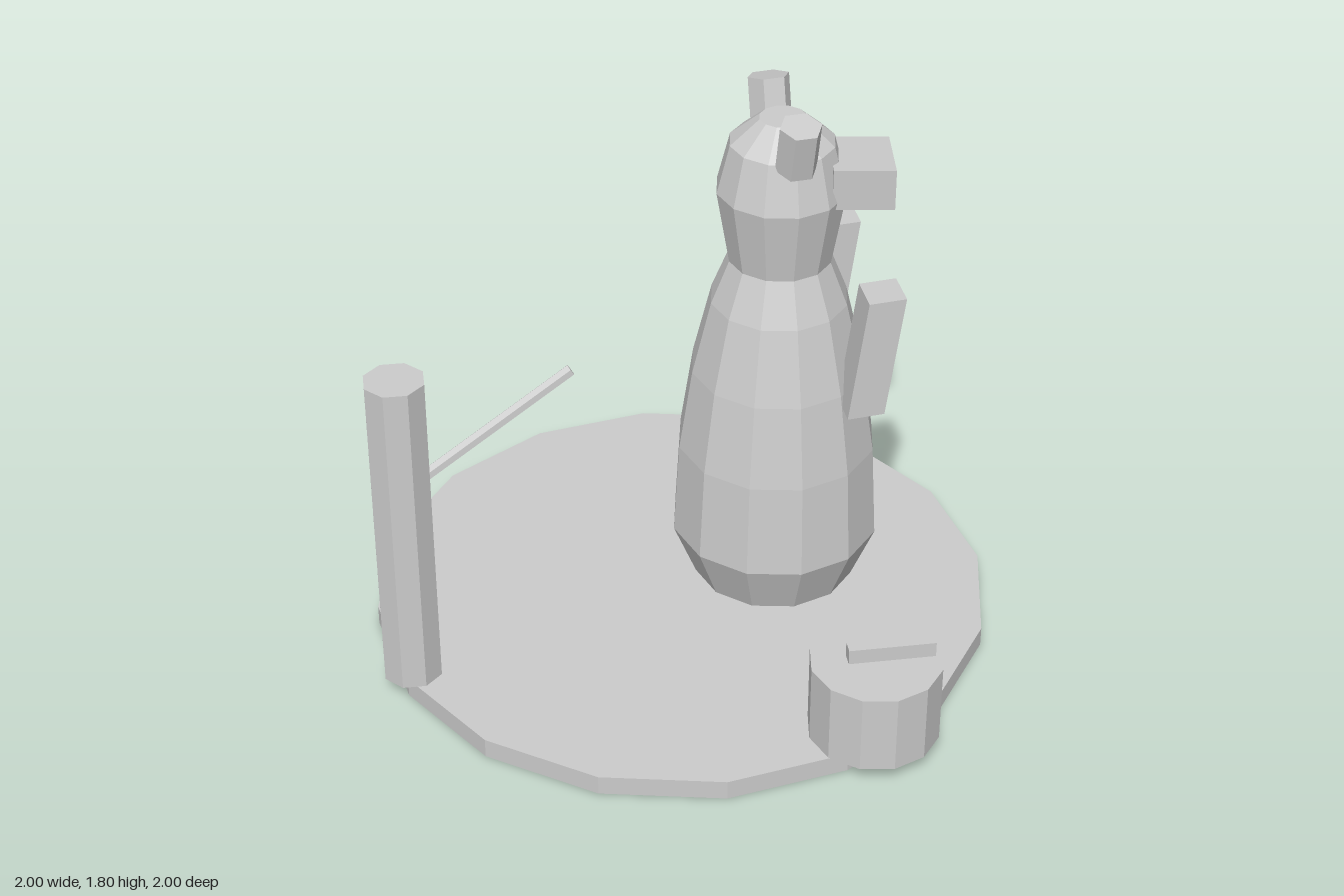
import * as THREE from 'three';
import { ConvexGeometry } from 'three/addons/geometries/ConvexGeometry.js';

const V = (x, y, z) => new THREE.Vector3(x, y, z);

export function createModel() {
  const model = new THREE.Group();
  const material = new THREE.MeshStandardMaterial({ color: 0xcccccc, flatShading: true });

  const add = (name, geometry, x = 0, y = 0, z = 0) => {
    const mesh = new THREE.Mesh(geometry, material);
    mesh.name = name;
    mesh.position.set(x, y, z);
    model.add(mesh);
    return mesh;
  };

  // Straight faceted rod between two points
  const rod = (name, a, b, radius, sides) => {
    const axis = b.clone().sub(a);
    const mid = a.clone().add(b).multiplyScalar(0.5);
    const mesh = add(name, new THREE.CylinderGeometry(radius, radius, axis.length(), sides), mid.x, mid.y, mid.z);
    mesh.quaternion.setFromUnitVectors(V(0, 1, 0), axis.normalize());
    return mesh;
  };

  // Slanted block: a quad swept along a vector
  const sweep = (name, quad, along) =>
    add(name, new ConvexGeometry([...quad, ...quad.map((p) => p.clone().add(along))]));

  const ground = 0.065;

  // Round base
  add('base', new THREE.CylinderGeometry(1, 1, ground, 16), 0, ground / 2, 0);

  // Body and head in one turned profile
  const profile = [
    [0, ground], [0.265, ground], [0.34, 0.25], [0.322, 0.57], [0.28, 0.85], [0.22, 1.1],
    [0.163, 1.245], [0.205, 1.49], [0.165, 1.65], [0.073, 1.73], [0, 1.73],
  ].map(([r, y]) => new THREE.Vector2(r, y));
  const body = add('body', new THREE.LatheGeometry(profile, 12), 0.265, 0, -0.195);
  body.rotation.y = THREE.MathUtils.degToRad(28);

  // Ears, splayed outwards
  rod('leftEar', V(0.335, 1.63, -0.07), V(0.354, 1.787, -0.04), 0.066, 6);
  rod('rightEar', V(0.205, 1.63, -0.31), V(0.184, 1.787, -0.345), 0.066, 6);

  // Snout, sloping slightly down
  sweep('snout', [
    V(0.615, 1.575, -0.225), V(0.55, 1.575, -0.435),
    V(0.55, 1.44, -0.435), V(0.615, 1.44, -0.225),
  ], V(-0.175, 0.03, 0.1));

  // Arms, leaning outwards towards the top
  for (const [name, x, z] of [['leftArm', 0.61, -0.103], ['rightArm', 0.38, -0.53]]) {
    const top = [[-0.08, -0.026], [0.024, -0.087], [0.08, 0.026], [-0.024, 0.087]];
    sweep(name, top.map(([dx, dz]) => V(x + dx, 1.22, z + dz)), V(-0.048, -0.41, 0.03));
  }

  // Tree trunk with a single branch
  add('trunk', new THREE.CylinderGeometry(0.096, 0.096, 1.095, 8), -0.708, ground + 1.095 / 2, 0.656);
  rod('branch', V(-0.66, 0.79, 0.636), V(-0.255, 1.078, 0.35), 0.02, 6);

  // Stump with a bar lying on top
  add('stump', new THREE.CylinderGeometry(0.206, 0.206, 0.265, 12), 0.755, ground + 0.265 / 2, 0.56);
  const bar = add('bar', new THREE.BoxGeometry(0.27, 0.05, 0.044), 0.795, 0.355, 0.533);
  bar.rotation.y = THREE.MathUtils.degToRad(23);

  return model;
}
